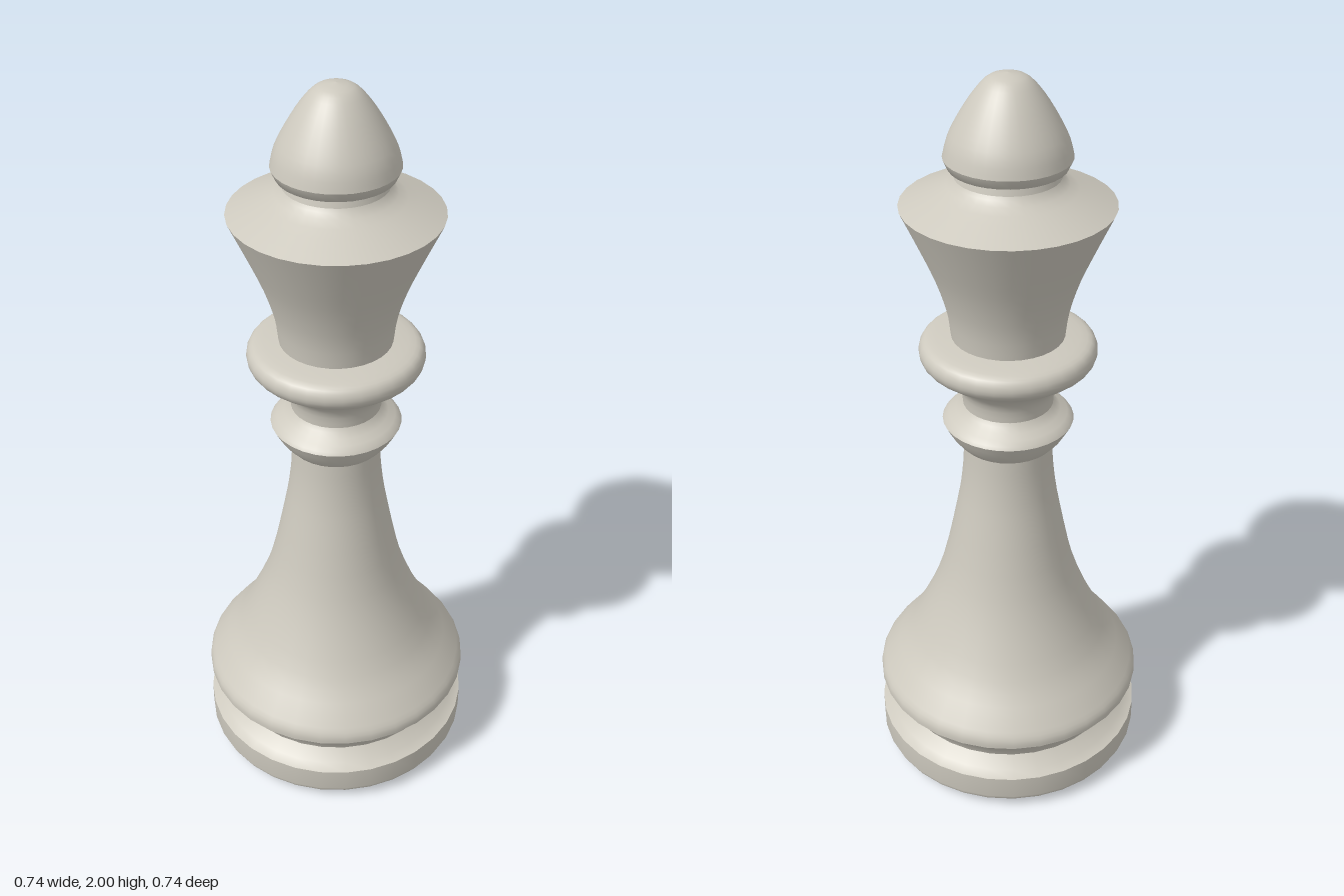
import * as THREE from 'three';

const SEGMENTS = 32;

export function createModel() {
  const group = new THREE.Group();
  group.name = 'chessQueen';
  const stone = new THREE.MeshStandardMaterial({ color: 0xcdc9be });
  stone.name = 'warmGrey';

  // Turned section: profile of [radius, height] from bottom to top, optionally smoothed
  function turn(name, profile, divisions = 0) {
    let points = profile.map(([r, y]) => new THREE.Vector2(r, y));
    if (divisions) points = new THREE.SplineCurve(points).getPoints(divisions);
    points.forEach((p) => { p.x = Math.max(p.x, 0); });
    const mesh = new THREE.Mesh(new THREE.LatheGeometry(points, SEGMENTS), stone);
    mesh.name = name;
    group.add(mesh);
  }

  // Base: slightly domed underside, rim and sloping ledge
  turn('underside', [[0, 0], [0.365, 0.03]]);
  turn('baseRim', [[0.365, 0.03], [0.372, 0.045], [0.372, 0.112]]);
  turn('baseLedge', [[0.372, 0.112], [0.345, 0.122], [0.315, 0.153]]);

  // Body: flared skirt rising into a slim stem
  turn('skirtUnderside', [[0.315, 0.153], [0.328, 0.185], [0.352, 0.212], [0.371, 0.232]]);
  turn('stem', [[0.371, 0.232], [0.367, 0.26], [0.335, 0.305], [0.268, 0.4], [0.19, 0.58],
    [0.14, 0.8], [0.122, 0.92], [0.117, 1.012]], 24);

  // Lower ring
  turn('lowerRingFoot', [[0.112, 1.01], [0.127, 1.012]]);
  turn('lowerRingUnderside', [[0.127, 1.012], [0.15, 1.04], [0.172, 1.08]], 4);
  turn('lowerRingTop', [[0.172, 1.08], [0.16, 1.095], [0.132, 1.112], [0.118, 1.13]], 5);

  // Neck flaring into the upper collar
  turn('collar', [[0.118, 1.13], [0.124, 1.175], [0.155, 1.215], [0.212, 1.253], [0.228, 1.28],
    [0.222, 1.306], [0.2, 1.32], [0.145, 1.328]], 20);

  // Head: flared crown with a sloping lid
  turn('crown', [[0.145, 1.325], [0.155, 1.4], [0.182, 1.49], [0.222, 1.585], [0.265, 1.68]], 12);
  turn('crownLid', [[0.265, 1.68], [0.2, 1.708], [0.148, 1.732], [0.13, 1.752]], 6);
  turn('finialNeck', [[0.13, 1.752], [0.126, 1.768]]);

  // Pointed, rounded finial
  turn('finialUnderside', [[0.126, 1.768], [0.145, 1.776], [0.156, 1.8]]);
  turn('finial', [[0.156, 1.8], [0.144, 1.845], [0.116, 1.9], [0.08, 1.955], [0.045, 1.99], [0, 2]], 16);

  return group;
}
